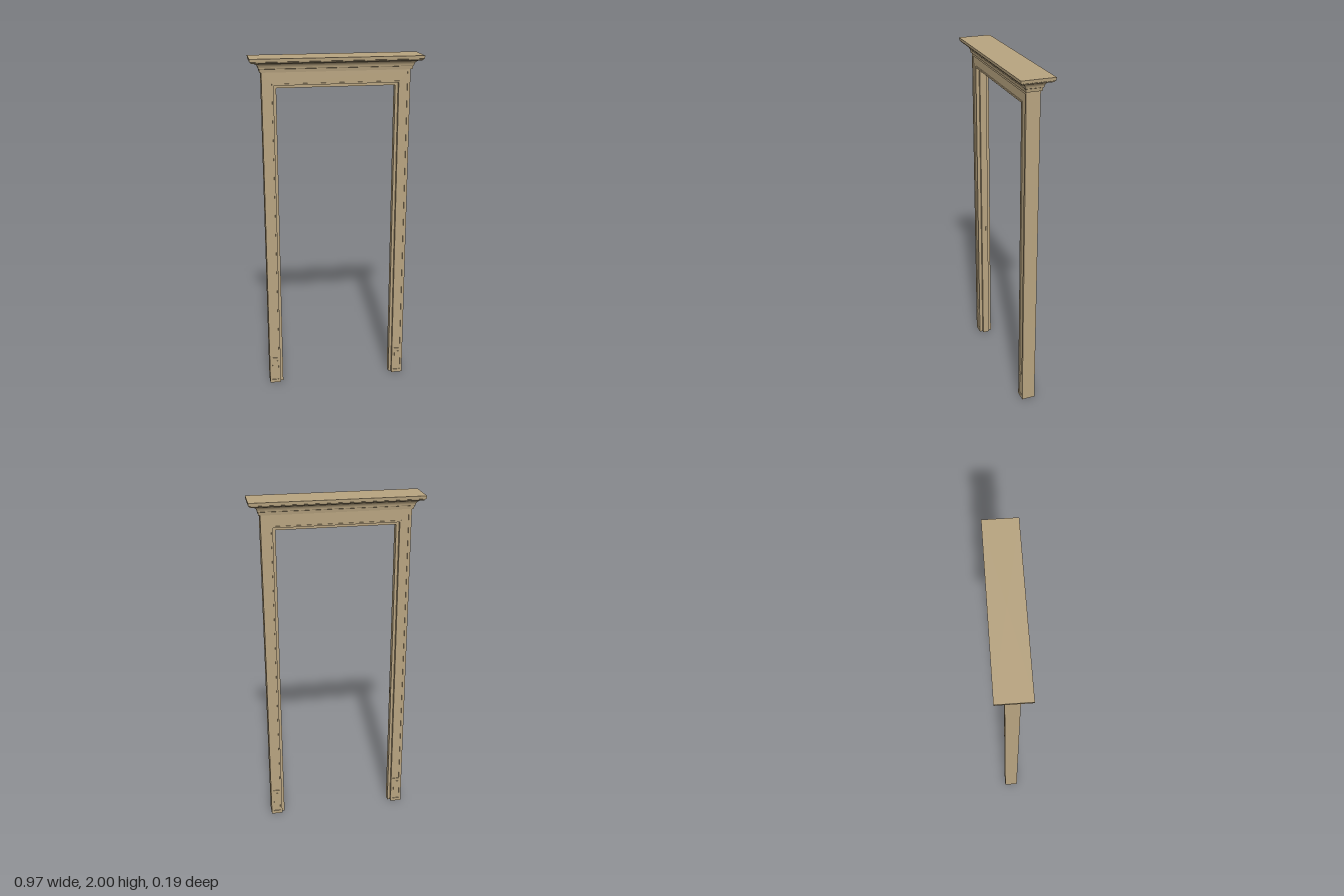
import * as THREE from 'three';
import { toCreasedNormals } from 'three/addons/utils/BufferGeometryUtils.js';

const wood = new THREE.MeshStandardMaterial({ color: 0xb8a480 });

const HALF = 0.0395; // half depth of the casing
const FIELD = 0.035; // half depth of the sunken field
const PLINTH = 0.17; // height of the plinth blocks

function add(parent, name, geometry) {
  const mesh = new THREE.Mesh(geometry, wood);
  mesh.name = name;
  parent.add(mesh);
  return mesh;
}

// Upside-down U around the opening, extruded from z0 to z1
function arch(outX, outTop, inX, inTop, bottom, z0, z1) {
  const shape = new THREE.Shape([
    [-outX, bottom], [-inX, bottom], [-inX, inTop], [inX, inTop],
    [inX, bottom], [outX, bottom], [outX, outTop], [-outX, outTop],
  ].map(([x, y]) => new THREE.Vector2(x, y)));
  return new THREE.ExtrudeGeometry(shape, { depth: z1 - z0, bevelEnabled: false }).translate(0, 0, z0);
}

function rectPoints(x0, x1, y0, y1) {
  return [[x0, y0], [x1, y0], [x1, y1], [x0, y1]].map(([x, y]) => new THREE.Vector2(x, y));
}

// Plinth facing: slab with a sunken panel and a raised tablet in it
function plinthFace() {
  const group = new THREE.Group();
  group.name = 'plinthFace';
  const shape = new THREE.Shape(rectPoints(-0.033, 0.033, 0, PLINTH));
  shape.holes.push(new THREE.Path(rectPoints(-0.021, 0.021, 0.02, 0.152).reverse()));
  add(group, 'plinthFrame', new THREE.ExtrudeGeometry(shape, { depth: HALF - FIELD, bevelEnabled: false }));
  add(group, 'plinthTablet', new THREE.BoxGeometry(0.032, 0.122, 0.004)).position.set(0, 0.086, 0);
  return group;
}

// Crown moulding: a profile of [offset, height] carried around a rectangle
function crownGeometry(baseX, baseZ) {
  const profile = [[0, 1.92], [0.006, 1.92], [0.009, 1.938], [0.013, 1.941]];
  for (let i = 1; i <= 8; i++) {
    const a = (i / 8) * Math.PI / 2;
    profile.push([0.013 + 0.037 * (1 - Math.cos(a)), 1.941 + 0.032 * Math.sin(a)]);
  }
  profile.push([0.054, 1.975], [0.057, 1.981], [0.062, 1.983], [0.0635, 2]);
  const points = profile.map(([d, y]) => new THREE.Vector2(1 + d, y));
  points.unshift(new THREE.Vector2(0, 1.92));
  points.push(new THREE.Vector2(0, 2));
  const geometry = new THREE.LatheGeometry(points, 4, Math.PI / 4);
  const p = geometry.attributes.position;
  for (let i = 0; i < p.count; i++) {
    const r = Math.hypot(p.getX(i), p.getZ(i));
    if (r < 0.5) continue;
    p.setX(i, Math.sign(p.getX(i)) * (baseX + r - 1));
    p.setZ(i, Math.sign(p.getZ(i)) * (baseZ + (r - 1) * 0.88));
  }
  return toCreasedNormals(geometry, 0.6);
}

export function createModel() {
  const model = new THREE.Group();
  model.name = 'doorFrame';

  // Main frame and the door stop inside it
  add(model, 'frameCore', arch(0.42, 1.93, 0.354, 1.847, 0, -FIELD, FIELD));
  add(model, 'doorStop', arch(0.356, 1.849, 0.338, 1.83, 0, -0.02, 0.02));

  // Casing trim and plinths, the same on the front and the back
  for (const turn of [0, Math.PI]) {
    const casing = new THREE.Group();
    casing.name = turn ? 'backCasing' : 'frontCasing';
    casing.rotation.y = turn;
    add(casing, 'outerBand', arch(0.42, 1.93, 0.404, 1.906, PLINTH, FIELD, HALF));
    add(casing, 'innerBand', arch(0.363, 1.856, 0.354, 1.847, PLINTH, FIELD, HALF));
    for (const side of [-1, 1]) {
      const face = plinthFace();
      face.position.set(side * 0.387, 0, FIELD);
      casing.add(face);
    }
    model.add(casing);
  }

  // Crown moulding over the head
  add(model, 'crownMoulding', crownGeometry(0.423, 0.0395));

  // Latch plate on the right jamb
  add(model, 'latchPlate', new THREE.BoxGeometry(0.004, 0.034, 0.016)).position.set(-0.337, 0.79, -0.013);

  return model;
}
